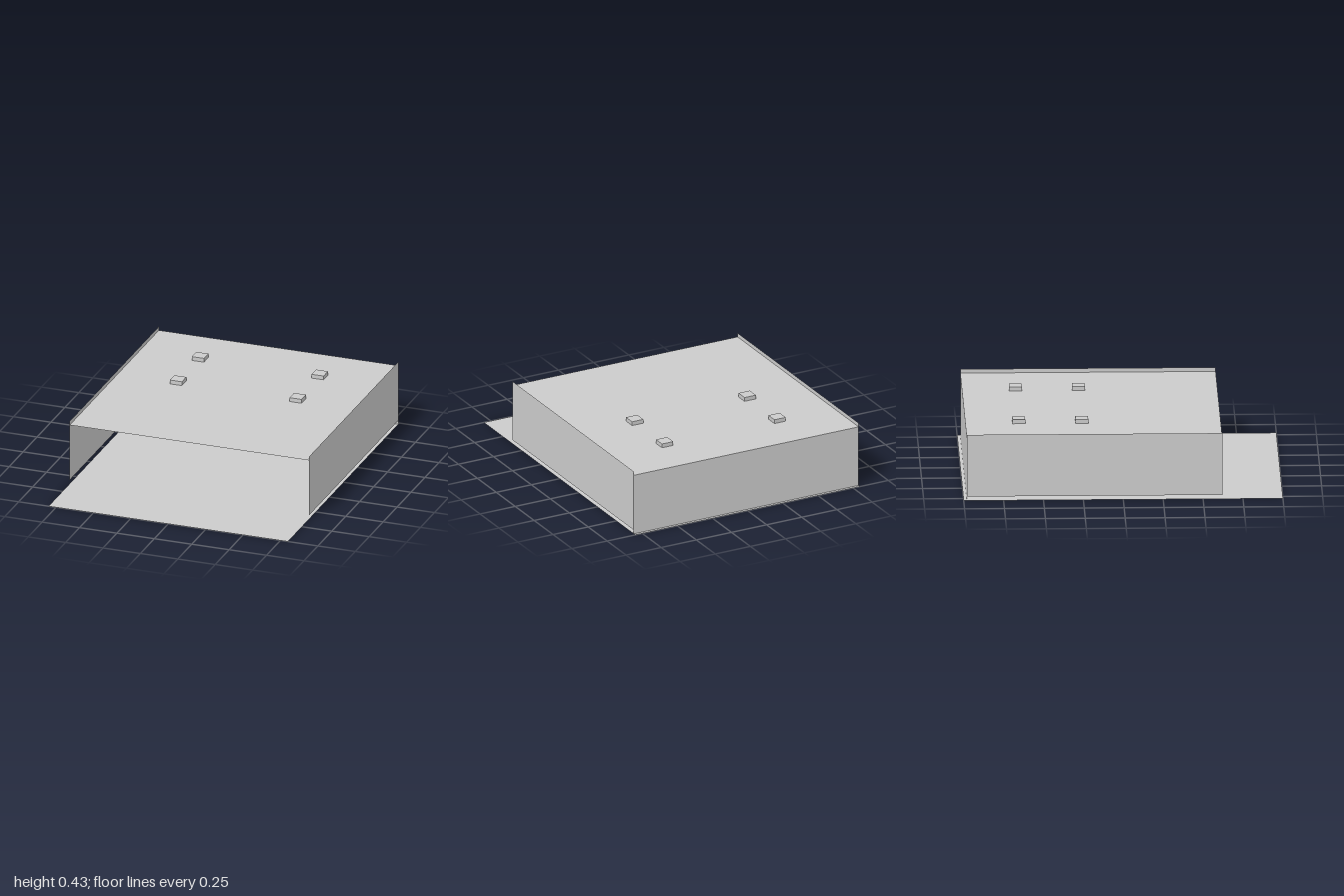
import * as THREE from 'three';

export function createModel() {
  const group = new THREE.Group();
  const material = new THREE.MeshStandardMaterial({
    color: 0xcccccc, side: THREE.DoubleSide, flatShading: true,
  });

  function add(name, geometry, x, y, z) {
    const mesh = new THREE.Mesh(geometry, material);
    mesh.name = name;
    mesh.position.set(x, y, z);
    group.add(mesh);
    return mesh;
  }

  const backZ = -0.98, depth = 1.6, width = 1.6, height = 0.4;
  const midZ = backZ + depth / 2;
  const lift = 0.026; // walls and posts sit slightly above the floor

  // Floor sheet, reaching out past the open front
  add('floor', new THREE.PlaneGeometry(width, 2).rotateX(-Math.PI / 2), 0, 0, 0);

  // Flat roof
  add('roof', new THREE.PlaneGeometry(width, depth).rotateX(-Math.PI / 2), 0, height, midZ);

  // Back wall
  add('backWall', new THREE.PlaneGeometry(width, height).rotateY(Math.PI), 0, height / 2, backZ);

  for (const side of [-1, 1]) {
    // Side walls, rising a little over the roof
    add(side > 0 ? 'leftWall' : 'rightWall',
      new THREE.PlaneGeometry(depth, height).rotateY(side * Math.PI / 2),
      side * width / 2, lift + height / 2, midZ);

    // Square posts, poking through the roof
    for (const z of [-0.645, -0.25]) {
      add('post', new THREE.BoxGeometry(0.08, height, 0.08), side * 0.4, lift + height / 2, z);
    }
  }

  return group;
}
